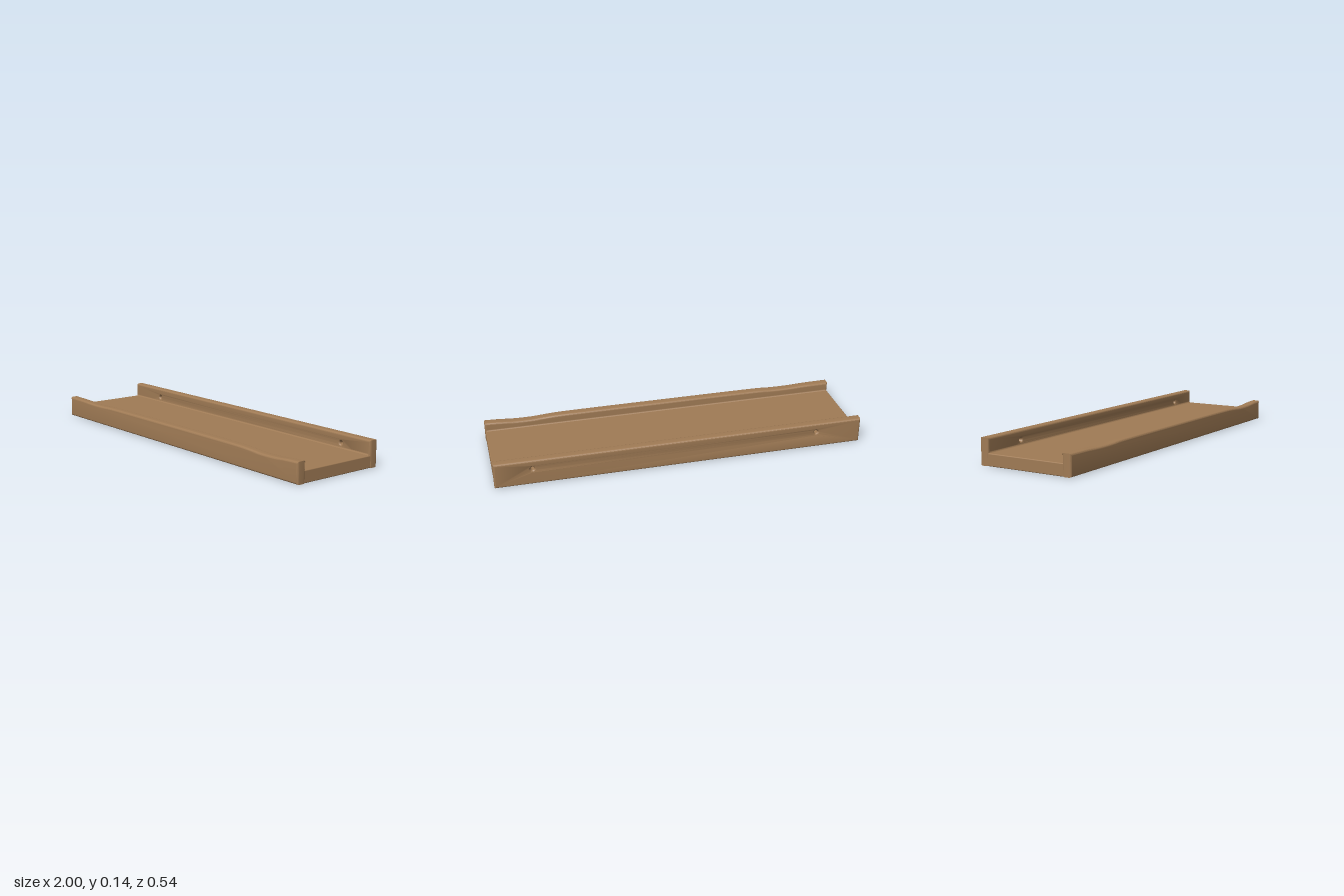
import * as THREE from 'three';
import { toCreasedNormals } from 'three/addons/utils/BufferGeometryUtils.js';
import { RoundedBoxGeometry } from 'three/addons/geometries/RoundedBoxGeometry.js';

const BEVEL = 0.011;

// Upright rail with softened edges, spanning zBack..zFront
function railGeometry(shape, zBack, zFront) {
  const geometry = new THREE.ExtrudeGeometry(shape, {
    depth: zFront - zBack - 2 * BEVEL,
    bevelEnabled: true, bevelThickness: BEVEL, bevelSize: BEVEL, bevelOffset: -BEVEL,
    bevelSegments: 6, curveSegments: 20,
  });
  geometry.translate(0, 0, zBack + BEVEL);
  return toCreasedNormals(geometry, 0.45);
}

// Concave strip easing the deck into a rail; side is +1 (front) or -1 (back)
function filletGeometry(z, side) {
  const r = 0.009, y = 0.063;
  const shape = new THREE.Shape();
  shape.moveTo(0.003, y - 0.003);
  shape.lineTo(0.003, y + r);
  shape.lineTo(0, y + r);
  shape.absarc(-r, y + r, r, 0, -Math.PI / 2, true);
  shape.lineTo(-r, y - 0.003);
  const geometry = new THREE.ExtrudeGeometry(shape, { depth: 1.984, bevelEnabled: false, curveSegments: 6 });
  geometry.translate(0, 0, -0.992);
  geometry.rotateY(side > 0 ? -Math.PI / 2 : Math.PI / 2);
  geometry.translate(0, 0, z);
  return toCreasedNormals(geometry, 0.45);
}

export function createModel() {
  const group = new THREE.Group();
  const wood = new THREE.MeshStandardMaterial({ color: 0xa07b55 });
  wood.name = 'warm wood';
  const add = (name, geometry) => {
    const mesh = new THREE.Mesh(geometry, wood);
    mesh.name = name;
    group.add(mesh);
  };

  // Flat deck
  const deck = new RoundedBoxGeometry(1.996, 0.064, 0.516, 3, 0.005);
  deck.translate(0, 0.032, 0.0015);
  add('deck', deck);

  // Tall back rail with two screw holes
  const back = new THREE.Shape();
  back.moveTo(-1, 0);
  back.lineTo(1, 0);
  back.lineTo(1, 0.14);
  back.lineTo(-1, 0.14);
  for (const x of [-0.745, 0.8]) {
    const hole = new THREE.Path();
    hole.absarc(x, 0.091, 0.01, 0, Math.PI * 2, true);
    back.holes.push(hole);
  }
  add('backRail', railGeometry(back, -0.268, -0.218));

  // Lower front lip with a gently worn top edge
  const front = new THREE.Shape();
  front.moveTo(-1, 0);
  front.lineTo(1, 0);
  front.lineTo(1, 0.112);
  front.splineThru([
    [0.92, 0.109], [0.84, 0.103], [0.74, 0.102], [0.66, 0.107], [0.56, 0.111], [0.3, 0.112],
    [0, 0.112], [-0.3, 0.112], [-0.56, 0.111], [-0.66, 0.107], [-0.76, 0.107], [-0.86, 0.111], [-1, 0.113],
  ].map(([x, y]) => new THREE.Vector2(x, y)));
  add('frontLip', railGeometry(front, 0.22, 0.27));

  // Eased inner corners
  add('frontFillet', filletGeometry(0.22, 1));
  add('backFillet', filletGeometry(-0.218, -1));

  return group;
}
